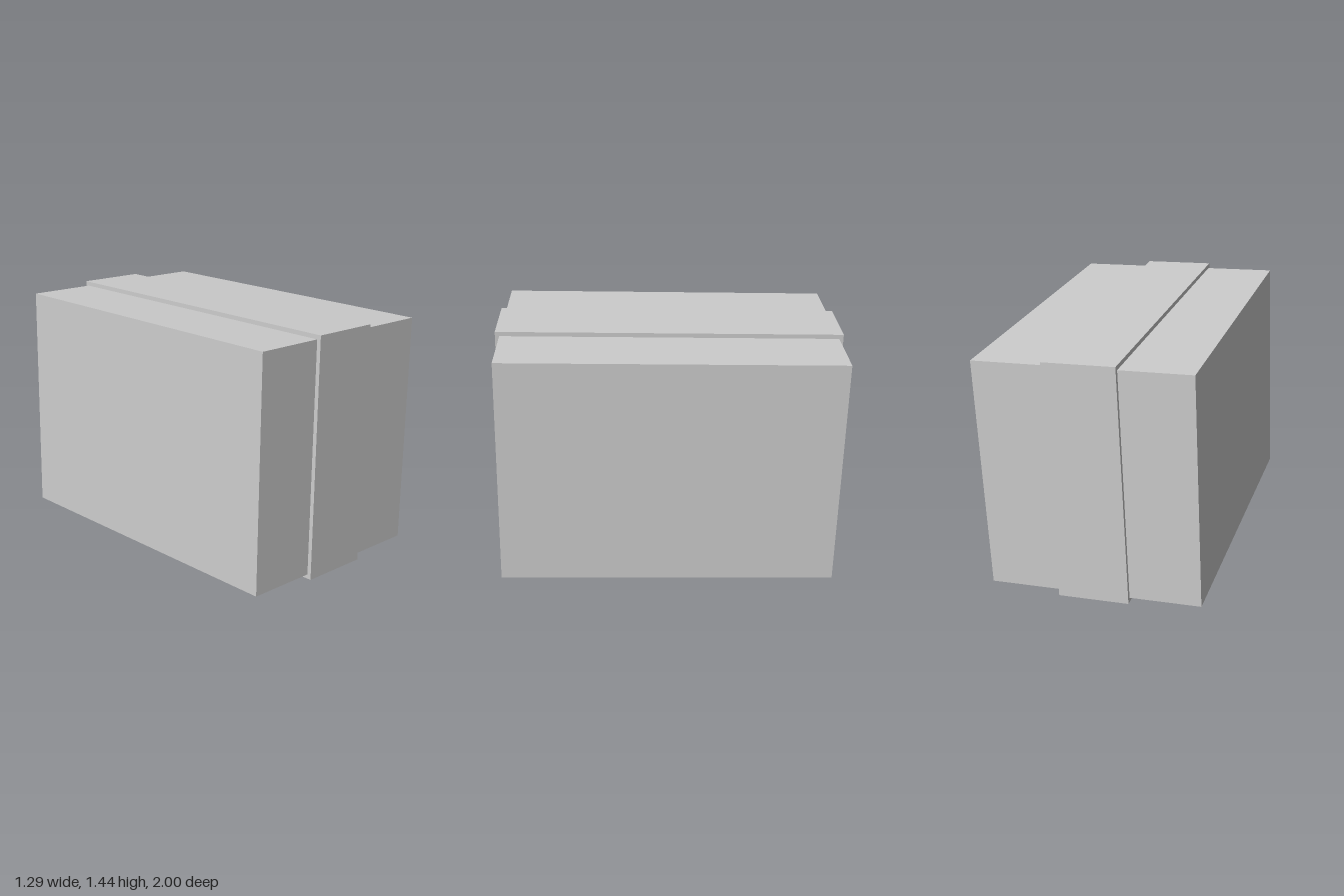
import * as THREE from 'three';

export function createModel() {
  const group = new THREE.Group();
  const material = new THREE.MeshStandardMaterial({ color: 0xcccccc, flatShading: true });

  // The whole parcel leans slightly on all three axes
  const parcel = new THREE.Group();
  parcel.name = 'parcel';
  parcel.rotation.set(-0.0205, 0.013, -0.039);
  parcel.position.y = 0.719;
  group.add(parcel);

  const addBox = (name, width, height, depth) => {
    const mesh = new THREE.Mesh(new THREE.BoxGeometry(width, height, depth), material);
    mesh.name = name;
    parcel.add(mesh);
  };

  // Main block, and the slightly larger band wrapped around its middle
  addBox('box', 1.217, 1.332, 1.92);
  addBox('band', 0.405, 1.382, 1.968);

  return group;
}
